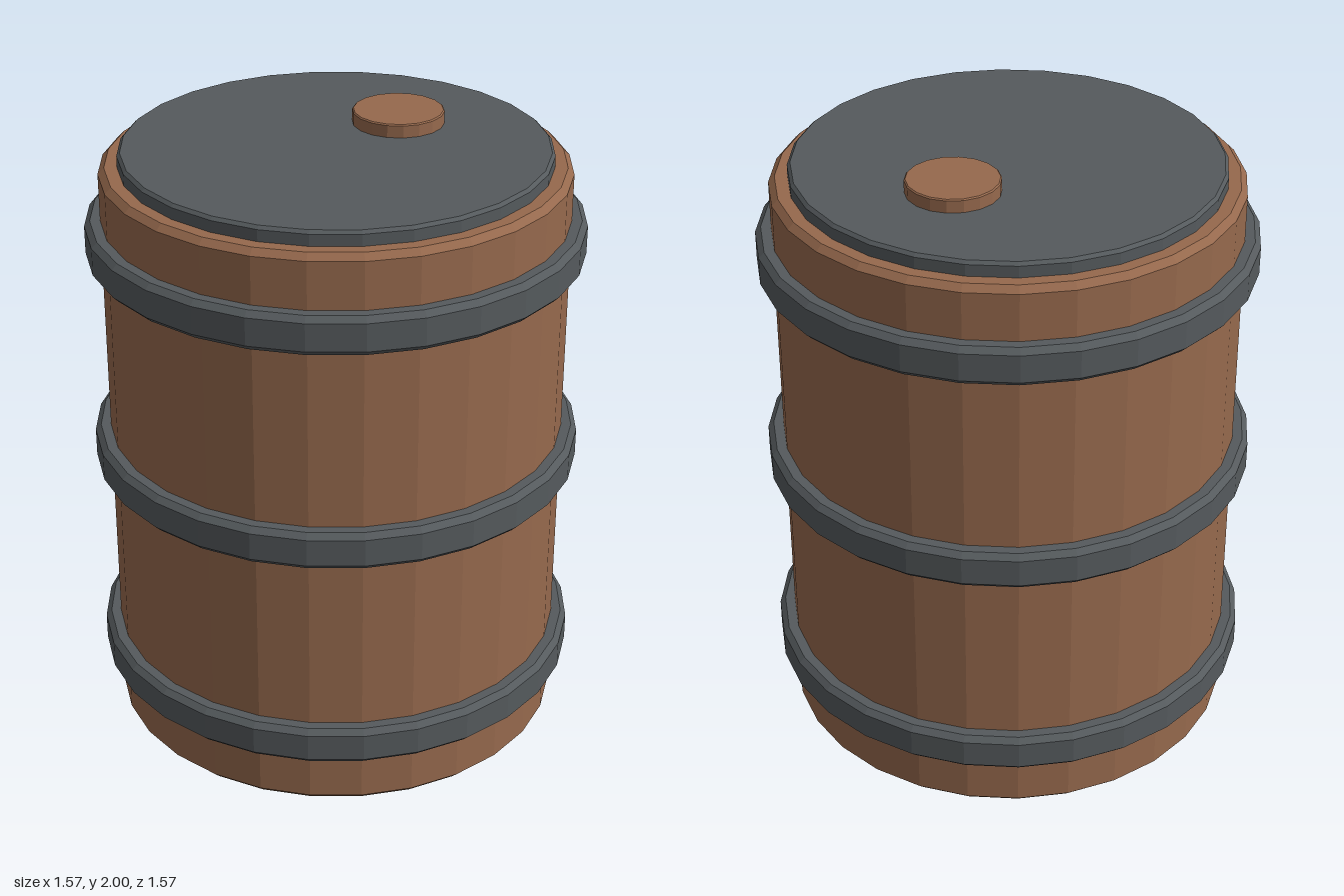
import * as THREE from 'three';

export function createModel() {
  const wood = new THREE.MeshStandardMaterial({ color: 0x96694d });
  wood.name = 'brown wood';
  wood.flatShading = true;
  const iron = new THREE.MeshStandardMaterial({ color: 0x555a5d });
  iron.name = 'dark iron';
  iron.flatShading = true;

  const barrel = new THREE.Group();
  barrel.name = 'barrel';

  // Faceted disc with bevelled rims, closed on the axis
  function disc(name, material, radius, bottom, top, bevel, sides) {
    const profile = [
      [0, bottom], [radius - bevel, bottom], [radius, bottom + bevel],
      [radius, top - bevel], [radius - bevel, top], [0, top],
    ].map(([r, y]) => new THREE.Vector2(r, y));
    const mesh = new THREE.Mesh(new THREE.LatheGeometry(profile, sides), material);
    mesh.name = name;
    barrel.add(mesh);
    return mesh;
  }

  // Hollow band with bevelled outer rims
  function hoop(name, bottom, top) {
    const inner = 0.72, outer = 0.785, bevel = 0.018;
    const profile = [
      [inner, bottom], [outer - bevel, bottom], [outer, bottom + bevel],
      [outer, top - bevel], [outer - bevel, top], [inner, top], [inner, bottom],
    ].map(([r, y]) => new THREE.Vector2(r, y));
    const mesh = new THREE.Mesh(new THREE.LatheGeometry(profile, 28), iron);
    mesh.name = name;
    barrel.add(mesh);
  }

  // Wooden body
  disc('body', wood, 0.735, 0, 1.91, 0.02, 28);

  // Three iron hoops
  hoop('lowerHoop', 0.18, 0.305);
  hoop('middleHoop', 0.897, 1.022);
  hoop('upperHoop', 1.613, 1.738);

  // Lid and off-centre plug
  disc('lid', iron, 0.675, 1.9, 1.957, 0.01, 28);
  disc('plug', wood, 0.146, 1.945, 2, 0.004, 18).position.x = 0.278;

  return barrel;
}
